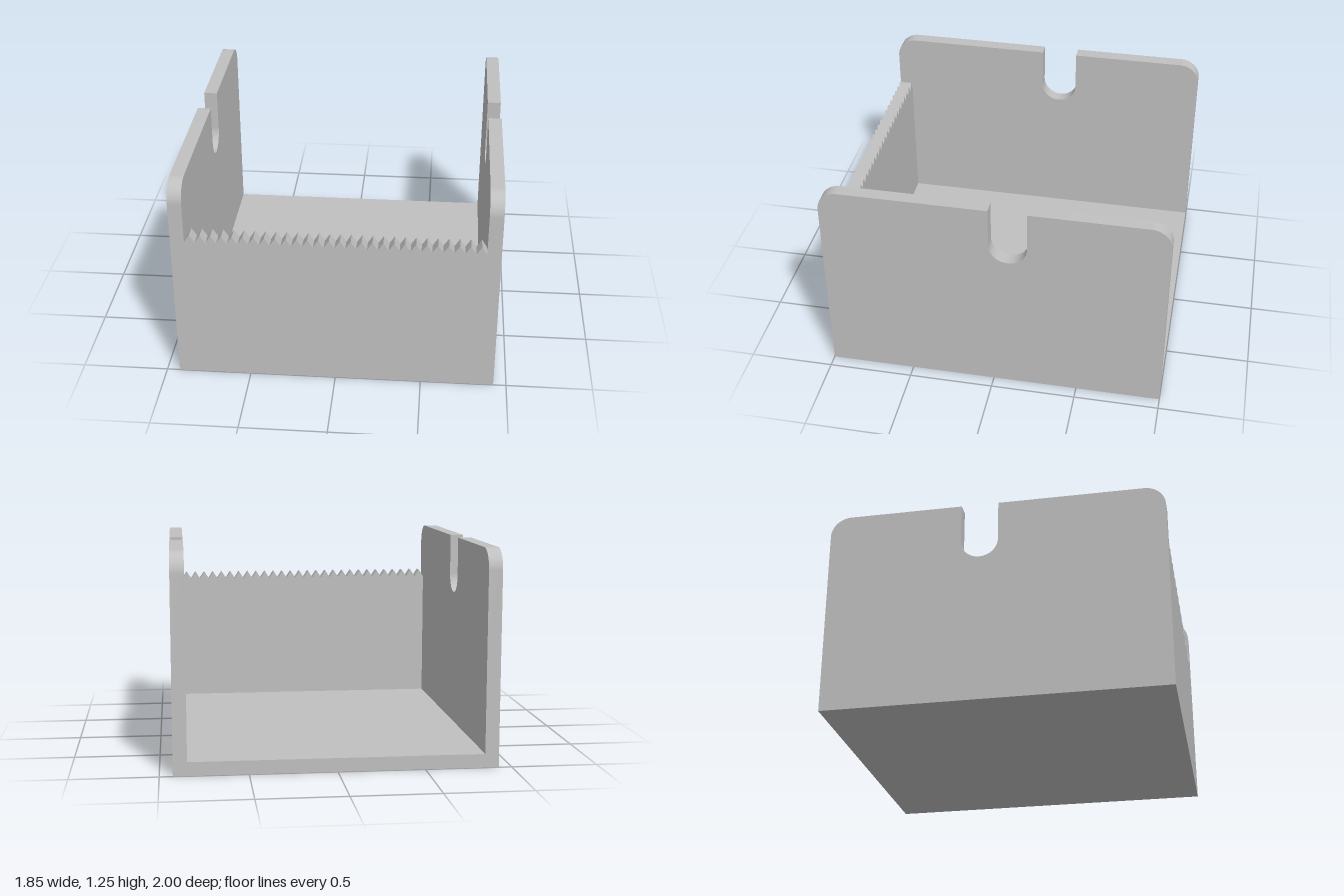
import * as THREE from 'three';
import { toCreasedNormals } from 'three/addons/utils/BufferGeometryUtils.js';

const W = 0.925, T = 0.08, H = 1.25, INNER = W - T;

// Side panel profile: rounded upper corners and a round-bottomed slot
function sideGeometry() {
  const r = 0.12, slotZ = -0.09, slotR = 0.11, slotY = 1.01;
  const s = new THREE.Shape();
  s.moveTo(-1, 0);
  s.lineTo(1, 0);
  s.lineTo(1, H - r);
  s.absarc(1 - r, H - r, r, 0, Math.PI / 2, false);
  s.lineTo(slotZ + slotR, H);
  s.lineTo(slotZ + slotR, slotY);
  s.absarc(slotZ, slotY, slotR, 0, -Math.PI, true);
  s.lineTo(slotZ - slotR, H);
  s.lineTo(-1 + r, H);
  s.absarc(-1 + r, H - r, r, Math.PI / 2, Math.PI, false);
  s.closePath();
  const g = new THREE.ExtrudeGeometry(s, { depth: T, bevelEnabled: false, curveSegments: 24 });
  g.rotateY(-Math.PI / 2); // profile x becomes z, thickness runs from x = -T to 0
  return toCreasedNormals(g, 0.5);
}

// Front panel profile: plain plate with a serrated top edge
function frontGeometry() {
  const teeth = 28, valley = 0.89, peak = 0.936, pitch = (2 * INNER) / teeth;
  const s = new THREE.Shape();
  s.moveTo(-INNER, 0);
  s.lineTo(INNER, 0);
  s.lineTo(INNER, valley);
  for (let i = 0; i < teeth; i++) {
    s.lineTo(INNER - (i + 0.5) * pitch, peak);
    s.lineTo(INNER - (i + 1) * pitch, valley);
  }
  s.closePath();
  return new THREE.ExtrudeGeometry(s, { depth: T, bevelEnabled: false });
}

export function createModel() {
  const group = new THREE.Group();
  group.name = 'rollDispenser';
  const grey = new THREE.MeshStandardMaterial({ color: 0xc0c0c0 });
  grey.name = 'grey';

  const add = (name, geometry, x, y, z) => {
    const mesh = new THREE.Mesh(geometry, grey);
    mesh.name = name;
    mesh.position.set(x, y, z);
    group.add(mesh);
  };

  // Side walls
  const side = sideGeometry();
  add('leftWall', side, W, 0, 0);
  add('rightWall', side, -INNER, 0, 0);

  // Floor, open at the back
  add('floor', new THREE.BoxGeometry(2 * INNER, T, 2 - T), 0, T / 2, -T / 2);

  // Front wall with cutting teeth
  add('serratedFrontWall', frontGeometry(), 0, 0, 1 - T);

  return group;
}
